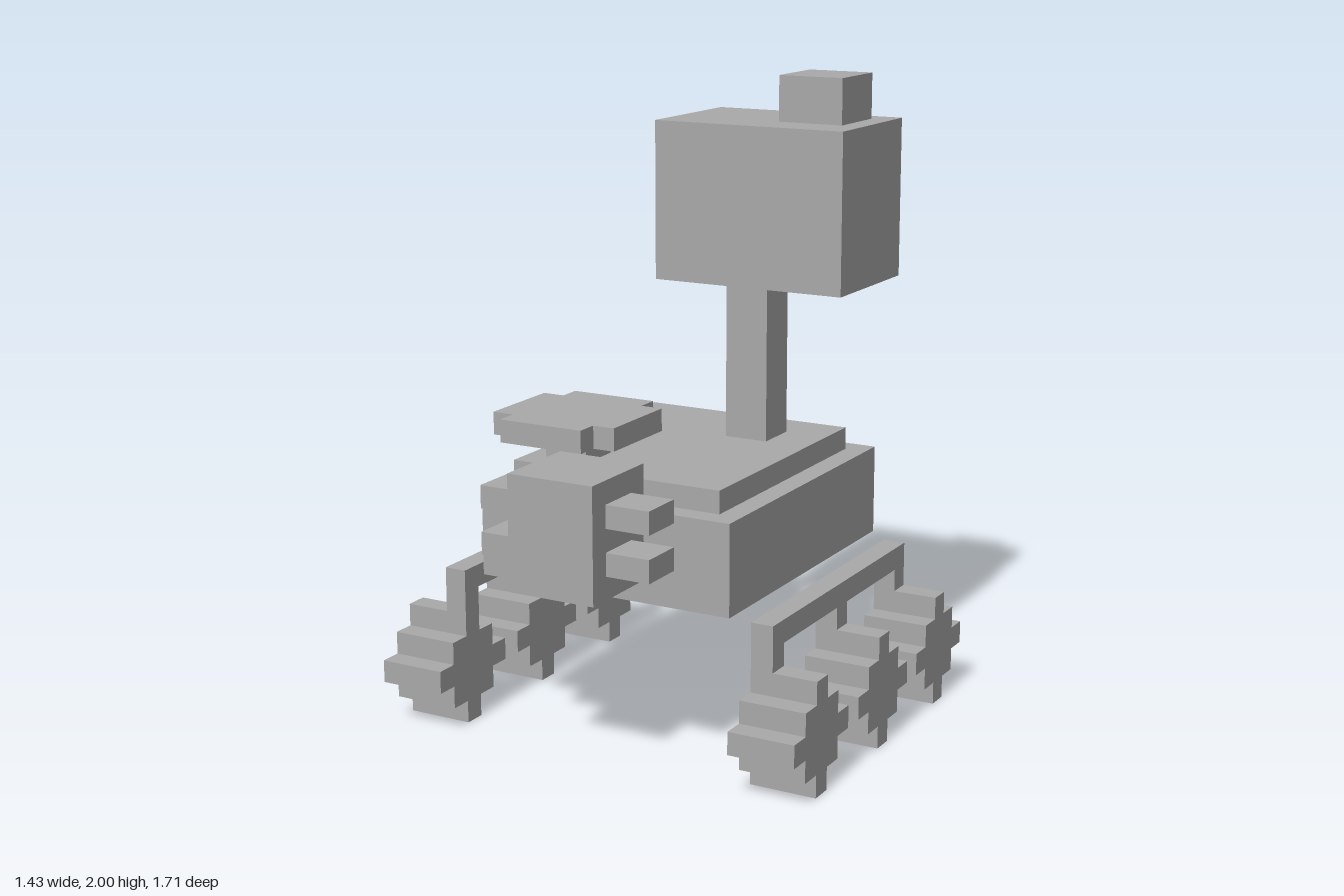
import * as THREE from 'three';

const U = 1 / 14; // one block of the grid
const gray = new THREE.MeshStandardMaterial({ color: 0xaaaaaa });
gray.name = 'plain gray';

// Box between two corners given in blocks
function block(parent, name, [x0, x1], [y0, y1], [z0, z1]) {
  const geo = new THREE.BoxGeometry((x1 - x0) * U, (y1 - y0) * U, (z1 - z0) * U);
  const mesh = new THREE.Mesh(geo, gray);
  mesh.name = name;
  mesh.position.set((x0 + x1) / 2 * U, (y0 + y1) / 2 * U, (z0 + z1) / 2 * U);
  parent.add(mesh);
  return mesh;
}

// Stepped outline extruded by a depth, all in blocks
function steppedPlate(name, points, depth) {
  const shape = new THREE.Shape(points.map(([x, y]) => new THREE.Vector2(x * U, y * U)));
  const geo = new THREE.ExtrudeGeometry(shape, { depth: depth * U, bevelEnabled: false });
  const mesh = new THREE.Mesh(geo, gray);
  mesh.name = name;
  return mesh;
}

// Repeats one quarter of an outline around the centre
function fourfold(quarter) {
  const out = [];
  for (let i = 0, pts = quarter; i < 4; i++, pts = pts.map(([x, y]) => [-y, x])) out.push(...pts);
  return out;
}

export function createModel() {
  const model = new THREE.Group();
  model.name = 'rover';

  // Body and deck
  block(model, 'body', [-6, 6], [7, 11], [-6, 8]);
  block(model, 'deck', [-5, 5], [11, 12], [-5, 7]);

  // Mast and camera head
  block(model, 'mast', [1, 3], [12, 19], [-3, -1]);
  block(model, 'head', [-2, 7], [19, 26], [-6, 0]);
  block(model, 'headSensor', [3, 6], [26, 28], [-5, -2]);

  // Antenna dish with notched corners
  block(model, 'dishStem', [-4, -2], [12, 13], [4, 6]);
  const dish = steppedPlate('dish', fourfold([[3, -2], [3, 2], [2, 2]]), 1);
  dish.rotation.x = -Math.PI / 2;
  dish.position.set(-3 * U, 13 * U, 5 * U);
  model.add(dish);

  // Front tool box with two pairs of side pegs
  block(model, 'toolBox', [-2, 2], [8, 13], [8, 12]);
  for (const y of [9, 11]) {
    block(model, 'toolPegLeft', [2, 4], [y, y + 1], [9, 11]);
    block(model, 'toolPegRight', [-4, -2], [y, y + 1], [9, 11]);
  }

  // Rear arm carrying a box
  block(model, 'rearArm', [-5, -3], [9, 10], [-10, -6]);
  block(model, 'rearArmDrop', [-5, -3], [6, 9], [-10, -9]);
  block(model, 'rearBox', [-6, -2], [3, 6], [-12, -8]);

  // Rails, legs and cogged wheels on both sides
  const cog = fourfold([[2.5, -0.5], [2.5, 0.5], [1.5, 0.5], [1.5, 1.5], [0.5, 1.5]]);
  for (const side of [1, -1]) {
    const drive = new THREE.Group();
    drive.name = side > 0 ? 'leftDrive' : 'rightDrive';
    const inner = side > 0 ? [7, 8] : [-8, -7];
    block(drive, 'rail', inner, [6, 7], [-5, 8]);
    for (const z of [-4.5, 1.5, 7.5]) {
      block(drive, 'leg', inner, [5, 6], [z - 0.5, z + 0.5]);
      const wheel = steppedPlate('wheel', cog, 3);
      wheel.rotation.y = Math.PI / 2;
      wheel.position.set((side > 0 ? 7 : -10) * U, 2.5 * U, z * U);
      drive.add(wheel);
    }
    model.add(drive);
  }
  return model;
}
